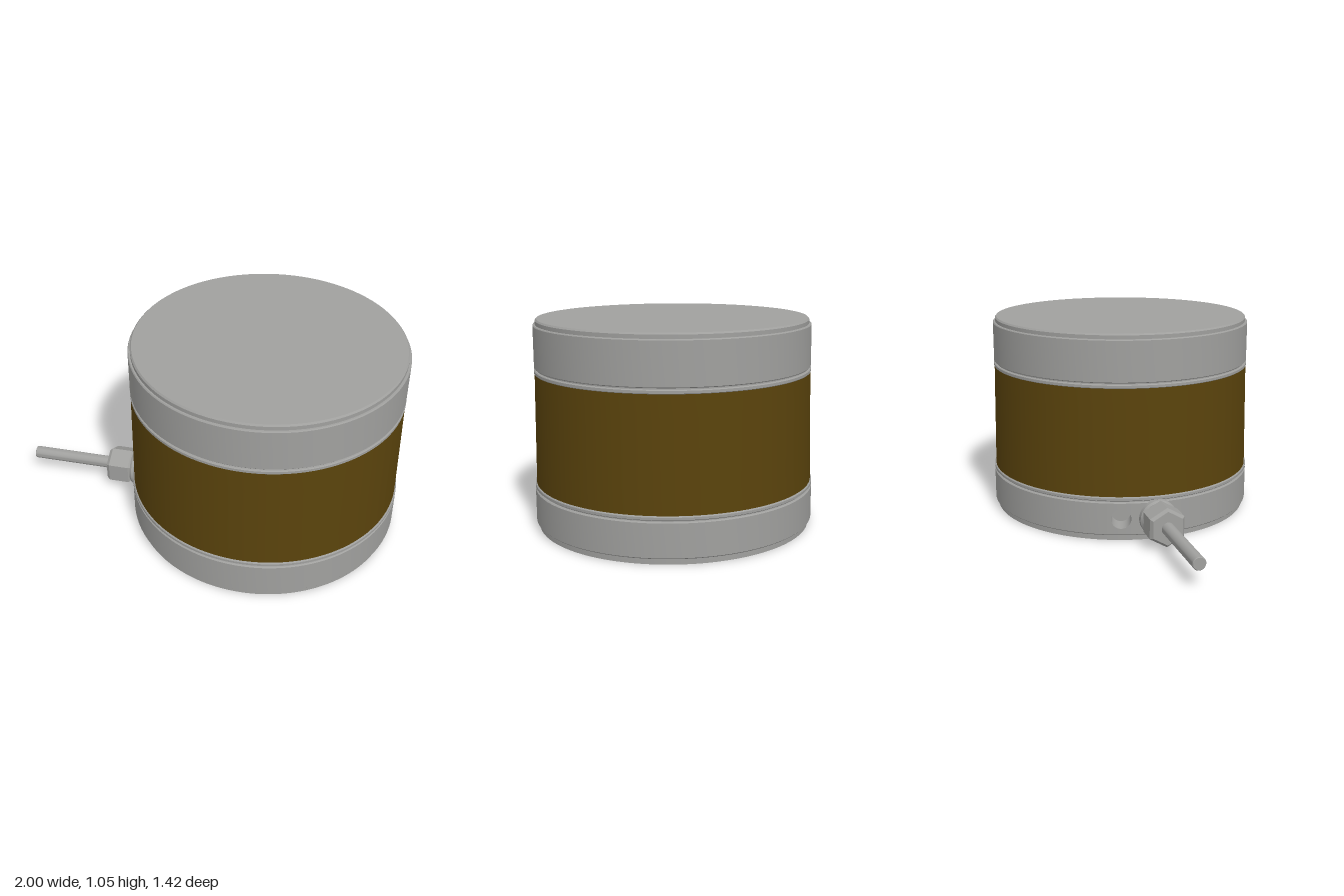
import * as THREE from 'three';
import { toCreasedNormals } from 'three/addons/utils/BufferGeometryUtils.js';

const SEG = 96;
const BASE_R = 0.71;
const PORT_Y = 0.118;

const metal = new THREE.MeshStandardMaterial({ color: 0xa0a09e, side: THREE.DoubleSide });
metal.name = 'grey metal';
const bronze = new THREE.MeshStandardMaterial({ color: 0x5a430c, side: THREE.DoubleSide });
bronze.name = 'dark bronze';

function add(parent, name, geometry, material = metal) {
  const mesh = new THREE.Mesh(geometry, material);
  mesh.name = name;
  parent.add(mesh);
  return mesh;
}

// Turned part from [radius, height] pairs, listed bottom to top
function turned(profile, segments = SEG, start = 0, length = Math.PI * 2) {
  const points = profile.map(([r, y]) => new THREE.Vector2(r, y));
  return toCreasedNormals(new THREE.LatheGeometry(points, segments, start, length), 0.5);
}

// Group at the housing axis whose local +x points outwards at the given angle
function radialGroup(parent, name, angle) {
  const group = new THREE.Group();
  group.name = name;
  group.position.y = PORT_Y;
  group.rotation.y = angle;
  parent.add(group);
  return group;
}

// Turned part lying along local +x
function alongX(geometry) {
  return geometry.rotateZ(-Math.PI / 2);
}

// Bottom plate with a centre hole and two pin holes
function bottomPlate() {
  const shape = new THREE.Shape().absarc(0, 0, 0.695, 0, Math.PI * 2);
  for (const [x, z, r] of [[0, 0, 0.05], [0.11, 0.62, 0.026], [-0.11, -0.62, 0.026]]) {
    shape.holes.push(new THREE.Path().absarc(x, z, r, 0, Math.PI * 2, true));
  }
  const plate = new THREE.ExtrudeGeometry(shape, { depth: 0.05, bevelEnabled: false, curveSegments: 72 });
  return toCreasedNormals(plate.rotateX(Math.PI / 2).translate(0, 0.05, 0), 0.5);
}

// Piece of the base wall, pierced by the side hole and bent round the axis
function piercedWall(phi, half, y0, y1, holeR) {
  const shape = new THREE.Shape();
  const w = half * BASE_R;
  const steps = 10;
  shape.moveTo(-w, y0);
  for (let i = 1; i <= steps; i++) shape.lineTo(-w + (2 * w * i) / steps, y0);
  for (let i = 0; i <= steps; i++) shape.lineTo(w - (2 * w * i) / steps, y1);
  shape.holes.push(new THREE.Path().absarc(0, PORT_Y, holeR, 0, Math.PI * 2, true));
  const geometry = new THREE.ShapeGeometry(shape, 24);
  const p = geometry.attributes.position;
  const n = geometry.attributes.normal;
  for (let i = 0; i < p.count; i++) {
    const a = phi + p.getX(i) / BASE_R;
    p.setXYZ(i, BASE_R * Math.sin(a), p.getY(i), BASE_R * Math.cos(a));
    n.setXYZ(i, Math.sin(a), 0, Math.cos(a));
  }
  return geometry;
}

export function createModel() {
  const model = new THREE.Group();
  model.name = 'sensorHousing';
  const body = new THREE.Group();
  body.name = 'body';
  body.position.x = 0.29;
  model.add(body);

  // Base: plate, lip, wall with a hole, groove and collar
  add(body, 'bottomPlate', bottomPlate());
  const ceiling = new THREE.CircleGeometry(0.69, SEG).rotateX(Math.PI / 2).translate(0, 0.049, 0);
  add(body, 'holeFloor', ceiling);
  add(body, 'baseLip', turned([[0.69, 0.03], [0.705, 0.03], [BASE_R, 0.035]]));
  const tilt = 0.035;
  const phi = 1.5 * Math.PI - tilt;
  const half = 0.1;
  add(body, 'baseWall', turned([[BASE_R, 0.035], [BASE_R, 0.2]], SEG, phi + half, Math.PI * 2 - 2 * half));
  add(body, 'piercedWall', piercedWall(phi, half, 0.035, 0.2, 0.052));
  add(body, 'baseCollar', turned([
    [BASE_R, 0.2], [0.705, 0.205], [0.698, 0.205], [0.698, 0.211], [0.705, 0.211],
    [BASE_R, 0.215], [BASE_R, 0.227], [0.706, 0.232], [0.68, 0.232],
  ]));

  // Bronze sleeve, narrowing slightly upwards
  add(body, 'sleeve', turned([[0.703, 0.23], [0.701, 0.35], [0.696, 0.68], [0.694, 0.787]]), bronze);

  // Upper collar and cap
  add(body, 'cap', turned([
    [0.68, 0.785], [0.693, 0.785], [0.697, 0.789], [0.697, 0.802], [0.693, 0.806],
    [0.685, 0.806], [0.685, 0.813], [0.692, 0.813], [0.696, 0.817], [0.696, 1.023],
    [0.692, 1.028], [0.684, 1.028], [0.684, 1.047], [0.677, 1.055], [0, 1.055],
  ]));

  // Blind hole in the side of the base
  const hole = radialGroup(body, 'sideHole', Math.PI - tilt);
  add(hole, 'holeBore', alongX(turned([[0, 0.6], [0.052, 0.6], [0.052, 0.709]], 32)));

  // Cable gland: washer, six-sided nut and cable
  const gland = radialGroup(body, 'cableGland', Math.PI + 0.23);
  add(gland, 'washer', alongX(turned([[0, 0.66], [0.097, 0.66], [0.097, 0.73], [0.088, 0.742], [0, 0.742]], 40)));
  const nut = turned([
    [0, 0.738], [0.09, 0.738], [0.103, 0.75], [0.103, 0.858], [0.088, 0.875], [0, 0.875],
  ], 6, Math.PI / 2).toNonIndexed();
  nut.computeVertexNormals();
  add(gland, 'nut', alongX(nut));
  add(gland, 'cable', alongX(turned([[0.033, 0.86], [0.033, 1.314], [0.03, 1.317], [0, 1.317]], 32)));

  return model;
}
